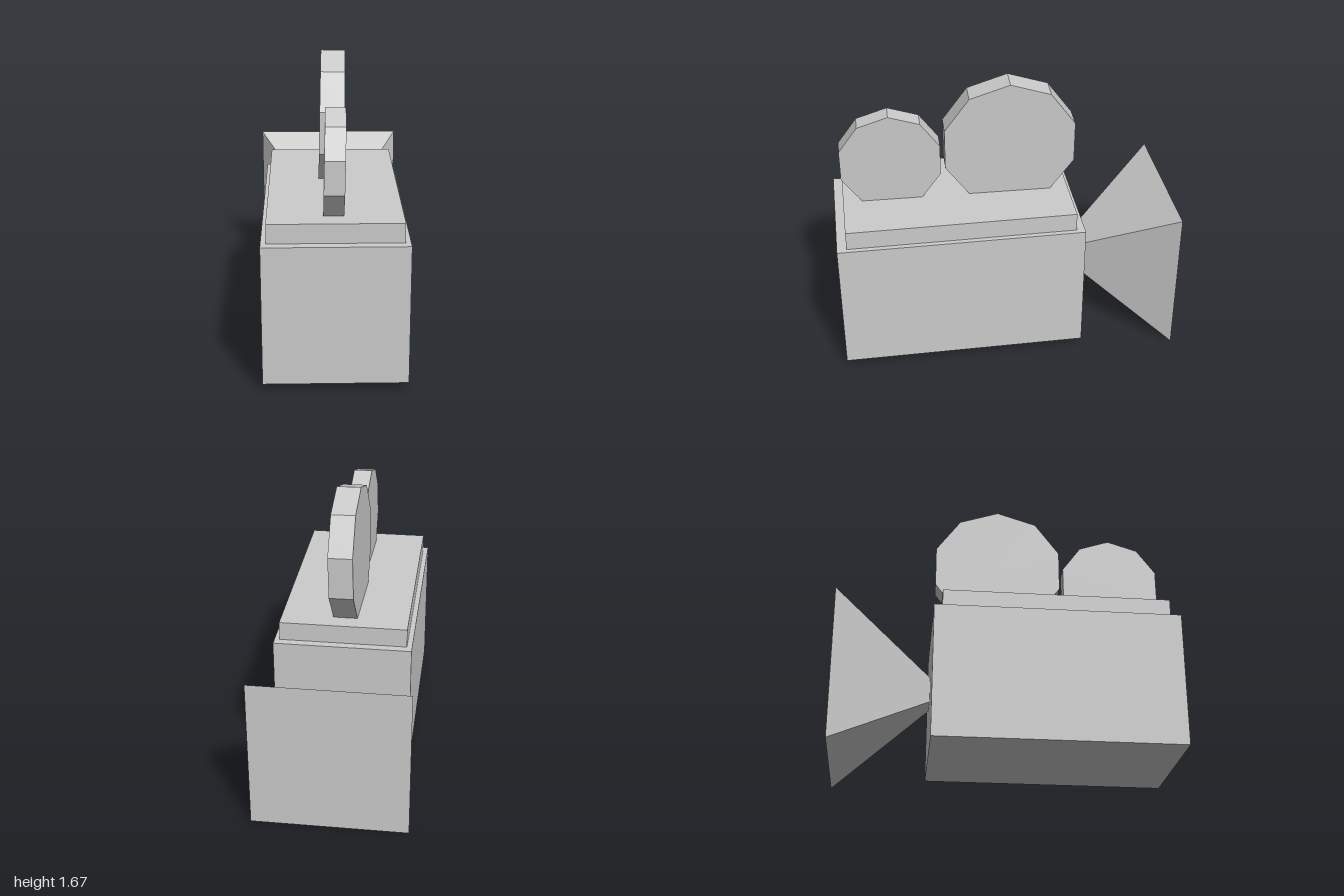
import * as THREE from 'three';

export function createModel() {
  const model = new THREE.Group();
  const material = new THREE.MeshStandardMaterial({ color: 0xcccccc, flatShading: true });

  const add = (name, geometry, x, y, z) => {
    const mesh = new THREE.Mesh(geometry, material);
    mesh.name = name;
    mesh.position.set(x, y, z);
    model.add(mesh);
    return mesh;
  };

  // Camera body and the raised plate on its top
  add('body', new THREE.BoxGeometry(0.8, 0.8, 1.44), 0, 0.45, 0.28);
  add('topPlate', new THREE.BoxGeometry(0.74, 0.11, 1.335), 0, 0.905, 0.277);

  // Square lens hood, flaring out towards the back
  const hood = new THREE.CylinderGeometry(0.075 * Math.SQRT2, 0.45 * Math.SQRT2, 0.56, 4, 1)
    .rotateY(Math.PI / 4)
    .rotateX(Math.PI / 2);
  add('lensHood', hood, 0, 0.452, -0.72);

  // Ten-sided film reels with a corner at the top, slightly tilted and sunk in the plate
  const addReel = (name, radius, width, y, z) => {
    const disc = new THREE.CylinderGeometry(radius, radius, width, 10)
      .rotateY(Math.PI / 2)
      .rotateZ(Math.PI / 2);
    add(name, disc, 0, y, z).rotation.set(0, -0.02, -0.02);
  };
  addReel('largeReel', 0.4, 0.141, 1.275, -0.043);
  addReel('smallReel', 0.305, 0.112, 1.21, 0.655);

  return model;
}
